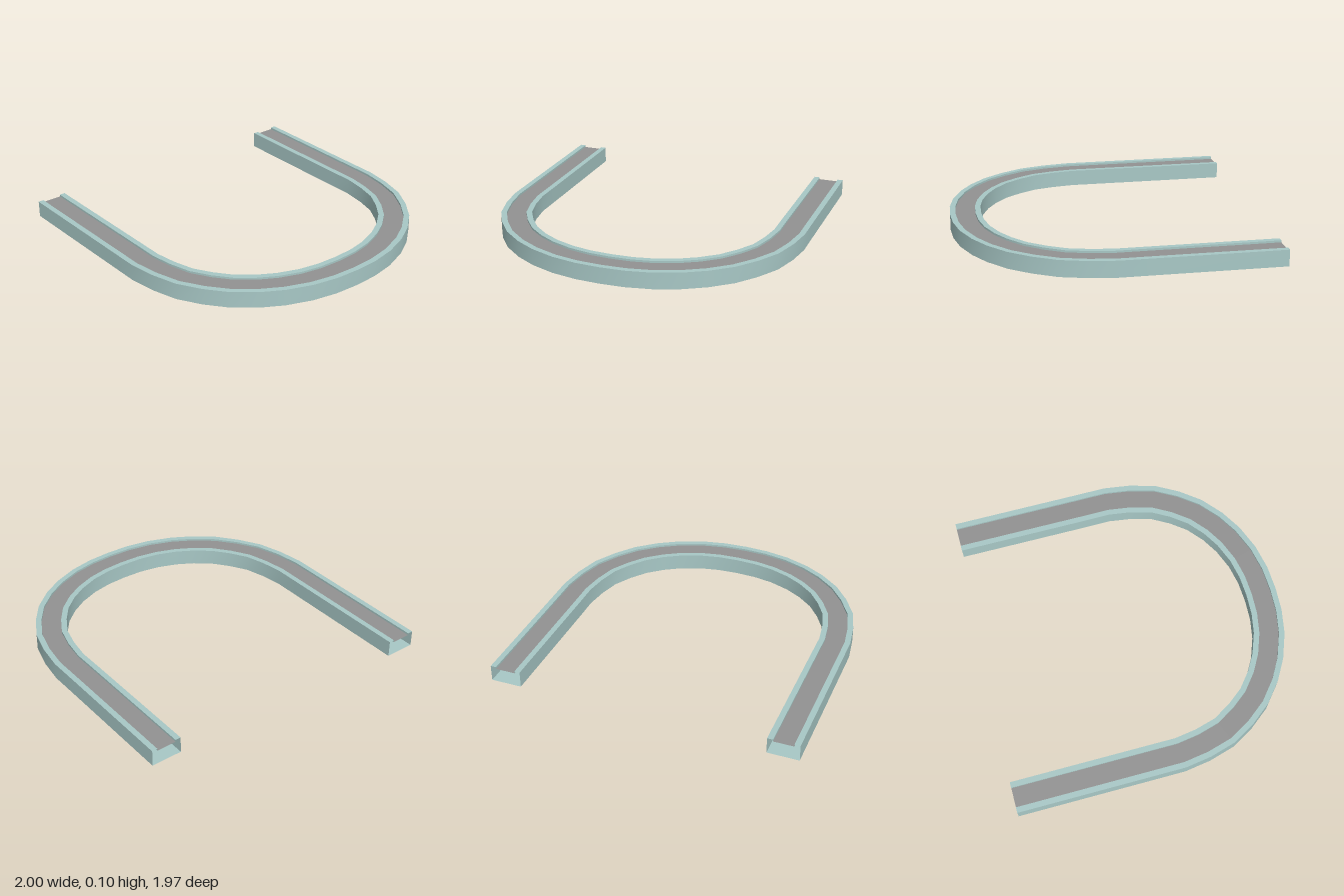
import * as THREE from 'three';

// Centre line (x, z) of the left half, from the open end to the middle of the bend
const HALF = [
  [0.9, -0.1], [0.9, 0.08], [0.877, 0.235], [0.835, 0.385], [0.76, 0.515],
  [0.67, 0.63], [0.555, 0.725], [0.435, 0.795], [0.29, 0.85], [0.145, 0.878],
];
const PATH = [
  [-0.9, -0.99],
  ...HALF.map(([x, z]) => [-x, z]),
  [0, 0.885],
  ...HALF.slice().reverse().map(([x, z]) => [x * 0.993, z]),
  [0.898, -0.935],
];

const W = 0.099, H = 0.105, BELT = 0.063, BELT_Y = 0.092;

// Outward mitre direction at every path point
const SIDES = PATH.map((p, i) => {
  if (i === 0 || i === PATH.length - 1) return new THREE.Vector2(i === 0 ? -1 : 1, 0);
  const dir = (a, b) => new THREE.Vector2(b[0] - a[0], b[1] - a[1]).normalize();
  const t = dir(PATH[i - 1], p).add(dir(p, PATH[i + 1])).normalize();
  return new THREE.Vector2(-t.y, t.x);
});

// Sweeps one edge of the cross-section, [offset, y] to [offset, y], along the path
function strip(name, from, to, material) {
  const positions = [], index = [];
  PATH.forEach(([x, z], i) => {
    for (const [s, y] of [from, to]) positions.push(x + SIDES[i].x * s, y, z + SIDES[i].y * s);
    if (i < PATH.length - 1) {
      const a = i * 2, b = a + 1, c = a + 3, d = a + 2;
      index.push(a, d, c, a, c, b);
    }
  });
  const geometry = new THREE.BufferGeometry();
  geometry.setAttribute('position', new THREE.Float32BufferAttribute(positions, 3));
  geometry.setIndex(index);
  geometry.computeVertexNormals();
  const mesh = new THREE.Mesh(geometry, material);
  mesh.name = name;
  return mesh;
}

export function createModel() {
  const frame = new THREE.MeshStandardMaterial({ name: 'pale teal', color: 0xa8c8c6, side: THREE.DoubleSide });
  const grey = new THREE.MeshStandardMaterial({ name: 'belt grey', color: 0x929292, side: THREE.DoubleSide });
  const model = new THREE.Group();
  model.name = 'curvedConveyor';

  // Hollow channel with open ends, and a belt sunk between two rails
  model.add(
    strip('outerWall', [W, 0], [W, H], frame),
    strip('outerRailTop', [W, H], [BELT, H], frame),
    strip('outerRailLip', [BELT, H], [BELT, BELT_Y], frame),
    strip('belt', [BELT, BELT_Y], [-BELT, BELT_Y], grey),
    strip('innerRailLip', [-BELT, BELT_Y], [-BELT, H], frame),
    strip('innerRailTop', [-BELT, H], [-W, H], frame),
    strip('innerWall', [-W, H], [-W, 0], frame),
    strip('floor', [-W, 0], [W, 0], frame),
  );
  return model;
}
